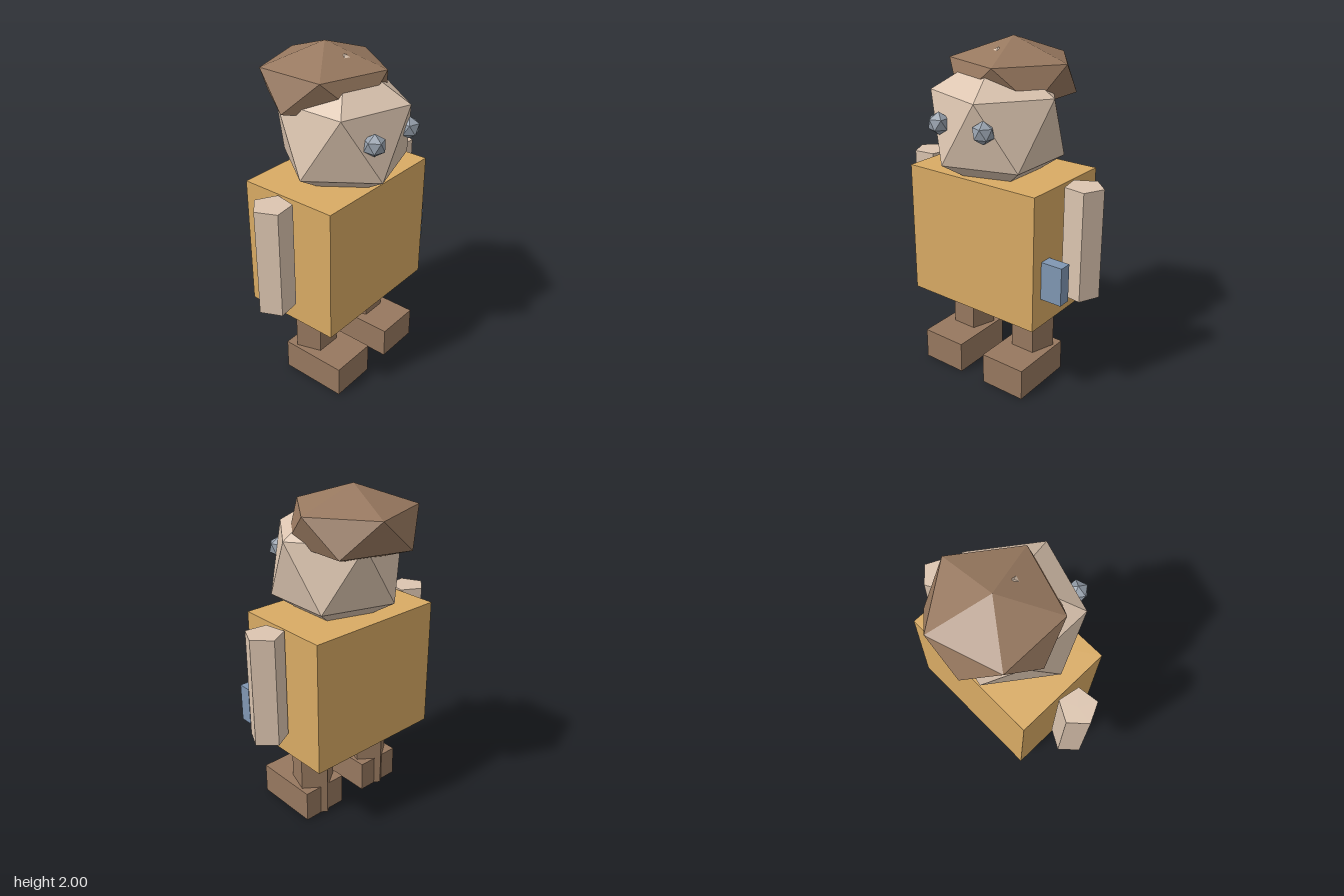
import * as THREE from 'three';
import { ConvexGeometry } from 'three/addons/geometries/ConvexGeometry.js';

const material = (name, color) => new THREE.MeshStandardMaterial({ name, color, flatShading: true });

// Icosahedron standing on one vertex: two poles and two staggered rings of five
function icosahedron(r, ry = r, turn = 0) {
  const points = [new THREE.Vector3(0, ry, 0), new THREE.Vector3(0, -ry, 0)];
  for (let i = 0; i < 10; i++) {
    const a = turn + (i * Math.PI) / 5;
    const y = (i % 2 ? -1 : 1) * ry / Math.sqrt(5);
    points.push(new THREE.Vector3(Math.cos(a) * r * 0.8944, y, Math.sin(a) * r * 0.8944));
  }
  return new ConvexGeometry(points);
}

// Upright five-sided prism
const prism = (r, h, start) => new THREE.CylinderGeometry(r, r, h, 5, 1, false, start);

export function createModel() {
  const model = new THREE.Group();
  model.name = 'figure';
  const skin = material('skin', 0xdcc5b0);
  const shirt = material('ochre shirt', 0xd9ab64);
  const brown = material('brown', 0x97785f);
  const blue = material('blue', 0x8097b3);
  const eyeGrey = material('blue grey', 0x96a0ac);

  const add = (name, geometry, mat, x, y, z) => {
    const mesh = new THREE.Mesh(geometry, mat);
    mesh.name = name;
    mesh.position.set(x, y, z);
    model.add(mesh);
  };

  // Torso and the pouch on its left side
  add('torso', new THREE.BoxGeometry(0.875, 0.793, 0.605), shirt, 0, 0.874, 0.007);
  add('pouch', new THREE.BoxGeometry(0.145, 0.225, 0.075), blue, 0.495, 0.763, 0.197);

  // Head and hair
  add('head', icosahedron(0.415), skin, 0, 1.5385, 0.047);
  add('hair', icosahedron(0.397, 0.217), brown, 0, 1.783, -0.09);

  // Paired parts, mirrored across x
  for (const s of [1, -1]) {
    const side = s > 0 ? 'left' : 'right';
    add(side + 'Eye', icosahedron(0.064, 0.064, s > 0 ? 0 : Math.PI), eyeGrey, s * 0.153, 1.576, 0.367);
    add(side + 'Arm', prism(0.111, 0.642, Math.PI - s * 0.127), skin, s * 0.55, 0.95, 0.005);
    add(side + 'Leg', prism(0.131, 0.5, Math.PI), brown, s * 0.228, 0.252, 0.009);
    add(side + 'Foot', new THREE.BoxGeometry(0.284, 0.19, 0.41), brown, s * 0.228, 0.095, 0.107);
  }
  return model;
}
